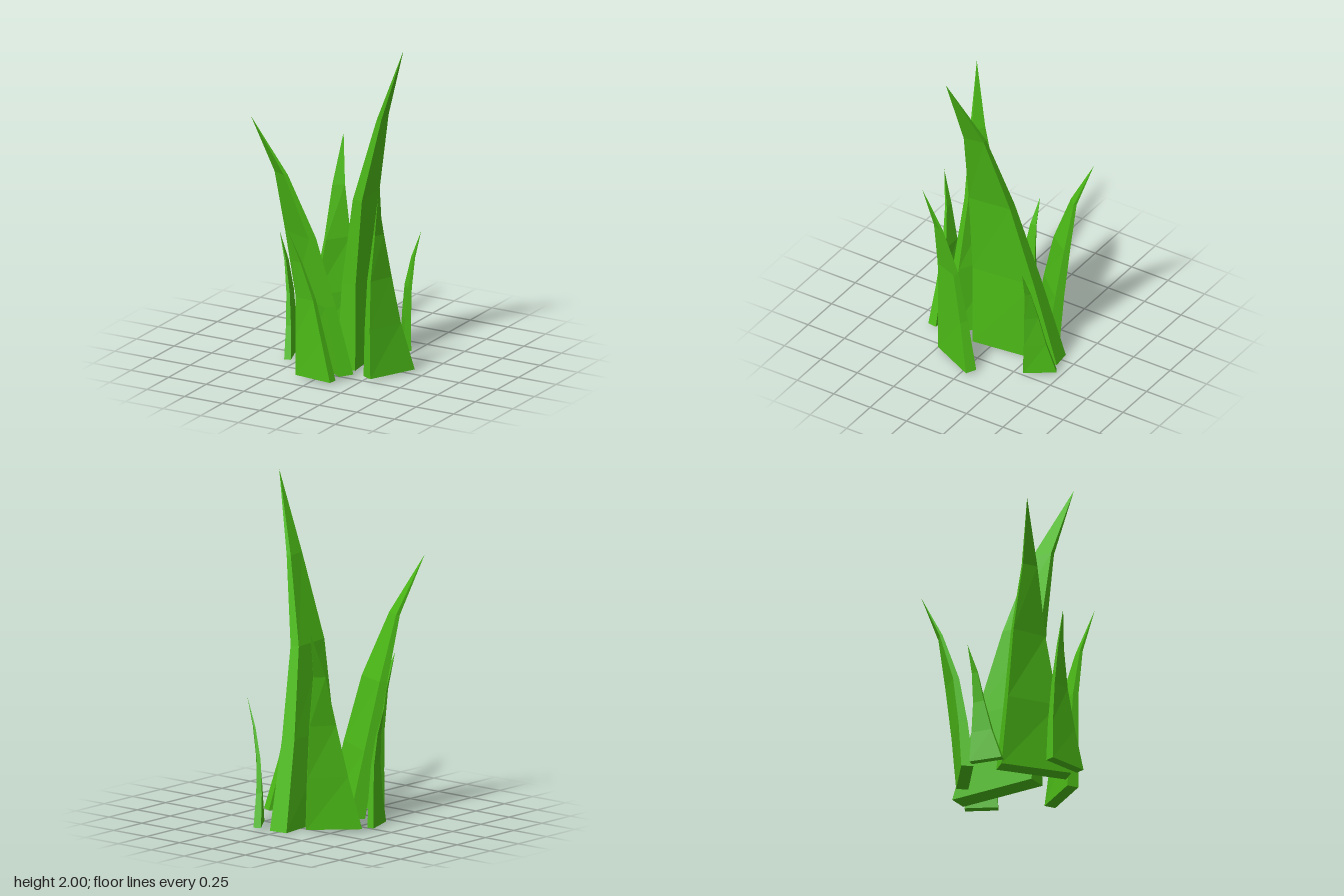
import * as THREE from 'three';

const material = new THREE.MeshStandardMaterial({ color: 0x4cbb17, flatShading: true });
const LEVELS = [0, 0.26, 0.52, 0.77]; // height fractions of the rings below the tip

// One blade: two edge paths [x, z] of one broad face, and a thickness vector
// that tapers to nothing at the tip [x, y, z].
function blade(name, tip, edgeA, edgeB, [tx, tz], y0 = 0.015) {
  const positions = [];
  const rings = LEVELS.map((f, i) => {
    const y = y0 + (tip[1] - y0) * f;
    const k = 1 - i / LEVELS.length;
    const [ax, az] = edgeA[i];
    const [bx, bz] = edgeB[i];
    return [
      [ax, y, az],
      [bx, y, bz],
      [bx + tx * k, y, bz + tz * k],
      [ax + tx * k, y, az + tz * k],
    ];
  });
  const tri = (...points) => points.forEach((p) => positions.push(...p));

  // Underside
  const [a, b, c, d] = rings[0];
  tri(a, c, b);
  tri(a, d, c);

  // Sides, closing on the tip
  rings.forEach((ring, i) => {
    const next = rings[i + 1];
    for (let j = 0; j < 4; j++) {
      const n = (j + 1) % 4;
      if (next) {
        tri(ring[j], ring[n], next[n]);
        tri(ring[j], next[n], next[j]);
      } else {
        tri(ring[j], ring[n], tip);
      }
    }
  });

  const geometry = new THREE.BufferGeometry();
  geometry.setAttribute('position', new THREE.Float32BufferAttribute(positions, 3));
  geometry.computeVertexNormals();
  const mesh = new THREE.Mesh(geometry, material);
  mesh.name = name;
  return mesh;
}

export function createModel() {
  const grass = new THREE.Group();
  grass.name = 'grassTuft';

  grass.add(
    // Three large blades
    blade('tallBlade', [0.435, 2, 0.097],
      [[-0.055, -0.41], [0, -0.275], [0.078, -0.145], [0.225, -0.045]],
      [[0.01, 0.127], [0.04, 0.122], [0.11, 0.118], [0.247, 0.08]],
      [0.115, -0.012], 0.005),
    blade('frontLargeBlade', [-0.393, 1.56, 0.42],
      [[0.185, 0.24], [0.07, 0.245], [-0.052, 0.26], [-0.2, 0.33]],
      [[-0.172, 0.012], [-0.21, 0.1], [-0.252, 0.185], [-0.285, 0.292]],
      [-0.05, 0.08], 0.03),
    blade('backLargeBlade', [-0.28, 1.22, -0.457],
      [[-0.31, -0.045], [-0.27, -0.12], [-0.25, -0.2], [-0.265, -0.31]],
      [[-0.08, -0.27], [-0.115, -0.298], [-0.16, -0.33], [-0.215, -0.36]],
      [-0.05, -0.05], 0.02),
    // Two medium blades
    blade('leftMediumBlade', [0.38, 1.16, 0.295],
      [[0.37, -0.07], [0.335, 0.01], [0.325, 0.08], [0.342, 0.18]],
      [[0.235, 0.21], [0.248, 0.22], [0.268, 0.225], [0.315, 0.238]],
      [0.062, 0.03], 0.02),
    blade('frontMediumBlade', [-0.125, 0.935, 0.47],
      [[0.135, 0.36], [0.07, 0.362], [0.01, 0.37], [-0.06, 0.41]],
      [[-0.11, 0.332], [-0.11, 0.345], [-0.107, 0.368], [-0.11, 0.41]],
      [-0.006, 0.055], 0.02),
    // Two small blades
    blade('rightSmallBlade', [-0.435, 0.73, 0.012],
      [[-0.382, -0.018], [-0.372, -0.01], [-0.37, 0], [-0.39, 0.007]],
      [[-0.317, 0.167], [-0.338, 0.11], [-0.358, 0.07], [-0.385, 0.045]],
      [0.038, -0.012]),
    blade('backSmallBlade', [0.302, 0.75, -0.34],
      [[0.105, -0.448], [0.14, -0.4], [0.175, -0.37], [0.23, -0.352]],
      [[0.215, -0.29], [0.22, -0.3], [0.232, -0.31], [0.256, -0.328]],
      [0.036, -0.025], 0.02),
  );
  return grass;
}
